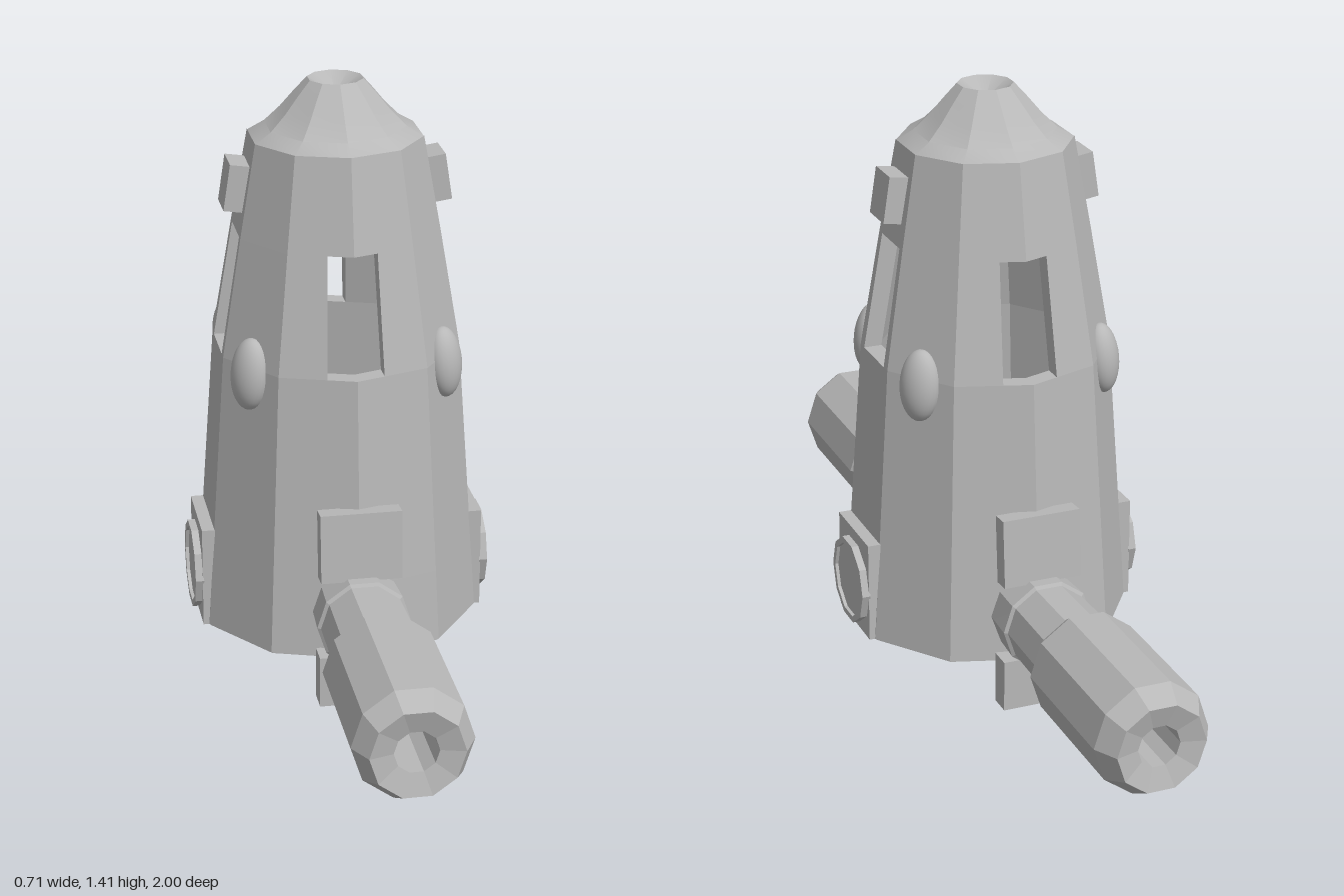
import * as THREE from 'three';
import { toCreasedNormals } from 'three/addons/utils/BufferGeometryUtils.js';

const grey = new THREE.MeshStandardMaterial({ color: 0xb8b8b8 });
grey.name = 'hull grey';

function add(parent, name, geometry, x = 0, y = 0, z = 0) {
  const mesh = new THREE.Mesh(geometry, grey);
  mesh.name = name;
  mesh.position.set(x, y, z);
  parent.add(mesh);
  return mesh;
}

const lathe = (profile, crease = 0.4) => toCreasedNormals(
  new THREE.LatheGeometry(profile.map(([r, y]) => new THREE.Vector2(r, y)), 10), crease);

// Ten-sided ring with extra points marking the sides of the four openings
function ring(r, y, halfWidth) {
  const w = Math.min(halfWidth, r * 0.28);
  const corner = k => [r * Math.sin(k * Math.PI / 5), y, r * Math.cos(k * Math.PI / 5)];
  const a = r * Math.cos(Math.PI / 10);
  const f = r - w * Math.tan(Math.PI / 10);
  const half = [corner(0), [w, y, f], corner(1), corner(2), [a, y, w],
    [a, y, -w], corner(3), corner(4), [w, y, -f], [0, y, -r]];
  const mirrored = half.slice(1, 9).reverse().map(([px, py, pz]) => [-px, py, pz]);
  return [...half, ...mirrored];
}

// Hollow tapered tower with windows and nozzle passages cut through its wall
function towerGeometry() {
  const levels = [ // y, radius, half width of the opening
    [0.105, 0.34, 0.055], [0.15, 0.337, 0.055], [0.28, 0.328, 0.055],
    [0.78, 0.293, 0.066], [1.06, 0.245, 0.057], [1.28, 0.205, 0.05]];
  const outer = levels.map(([y, r, w]) => ring(r, y, w));
  const inner = levels.map(([y, r, w]) => ring(r - 0.045, y, w));
  const frontBack = [0, 17, 8, 9], sides = [4, 13];
  const open = (j, i) => (j === 1 && frontBack.includes(i)) ||
    (j === 3 && (frontBack.includes(i) || sides.includes(i)));
  const out = [];
  const quad = (a, b, c, d) => out.push(...a, ...b, ...c, ...a, ...c, ...d);
  for (let j = 0; j < 5; j++) {
    for (let i = 0; i < 18; i++) {
      const n = (i + 1) % 18, p = (i + 17) % 18;
      const O = outer[j], P = outer[j + 1], I = inner[j], J = inner[j + 1];
      if (!open(j, i)) {
        quad(O[i], O[n], P[n], P[i]);
        quad(I[n], I[i], J[i], J[n]);
      } else {
        quad(O[i], O[n], I[n], I[i]);
        quad(P[n], P[i], J[i], J[n]);
        if (!open(j, p)) quad(O[i], I[i], J[i], P[i]);
        if (!open(j, n)) quad(I[n], O[n], P[n], J[n]);
      }
    }
  }
  const g = new THREE.BufferGeometry();
  g.setAttribute('position', new THREE.Float32BufferAttribute(out, 3));
  g.computeVertexNormals();
  return g;
}

export function createModel() {
  const model = new THREE.Group();
  model.name = 'tower craft';

  add(model, 'towerShell', towerGeometry());
  add(model, 'floorPlate',
    toCreasedNormals(new THREE.CylinderGeometry(0.335, 0.335, 0.022, 10), 0.4), 0, 0.112, 0);

  // Flared roof with a shallow dish in its tip
  add(model, 'roof', lathe([[0, 1.27], [0.205, 1.278], [0.165, 1.302], [0.128, 1.338],
    [0.095, 1.377], [0.065, 1.41], [0, 1.37]]));

  // Ellipsoid pods on the four diagonal faces
  const podGeometry = new THREE.SphereGeometry(1, 24, 16);
  for (const angle of [54, 126, 234, 306]) {
    const holder = new THREE.Group();
    holder.name = 'podMount';
    holder.rotation.y = THREE.MathUtils.degToRad(angle);
    const pod = add(holder, 'pod', podGeometry, 0, 0.765, 0.28);
    pod.scale.set(0.05, 0.085, 0.04);
    pod.rotation.x = -0.1;
    model.add(holder);
  }

  // Front and back nozzle with its bracket and foot
  const nozzleGeometry = lathe([[0.05, 0.29], [0.105, 0.29], [0.11, 0.385], [0.102, 0.39],
    [0.105, 0.57], [0.115, 0.57], [0.135, 0.6], [0.135, 0.945], [0.105, 1.0],
    [0.05, 0.985], [0.05, 0.29]], 0.1);
  nozzleGeometry.rotateY(Math.PI / 2).rotateX(Math.PI / 2);
  for (const turn of [0, Math.PI]) {
    const arm = new THREE.Group();
    arm.name = turn ? 'backArm' : 'frontArm';
    arm.rotation.y = turn;
    add(arm, 'nozzle', nozzleGeometry, 0, 0.215, 0);
    add(arm, 'bracket', new THREE.BoxGeometry(0.19, 0.165, 0.045), 0, 0.392, 0.327)
      .rotation.x = -0.07;
    add(arm, 'foot', new THREE.BoxGeometry(0.2, 0.125, 0.055), 0, 0.0625, 0.337);
    model.add(arm);
  }

  // Side hatches and the blocks above the side windows
  const hatchGeometry = lathe([[0, 0], [0.105, 0], [0.105, 0.02], [0.09, 0.02],
    [0.09, 0.012], [0, 0.012]], 0.1);
  hatchGeometry.rotateZ(-Math.PI / 2);
  for (const turn of [0, Math.PI]) {
    const side = new THREE.Group();
    side.name = turn ? 'rightSide' : 'leftSide';
    side.rotation.y = turn;
    add(side, 'hatchPad', new THREE.BoxGeometry(0.04, 0.245, 0.205), 0.317, 0.227, 0);
    add(side, 'hatchRim', hatchGeometry, 0.334, 0.22, 0);
    add(side, 'windowBlock', new THREE.BoxGeometry(0.055, 0.11, 0.09), 0.231, 1.17, 0)
      .rotation.z = 0.15;
    model.add(side);
  }

  // Curved ribs under the floor
  for (let k = 0; k < 4; k++) {
    const arc = new THREE.TorusGeometry(0.17, 0.008, 6, 8, 0.9);
    arc.rotateX(Math.PI / 2).rotateY(Math.PI / 4 + 0.45 + k * Math.PI / 2);
    add(model, 'floorRib', arc, 0, 0.101, 0);
  }
  return model;
}
